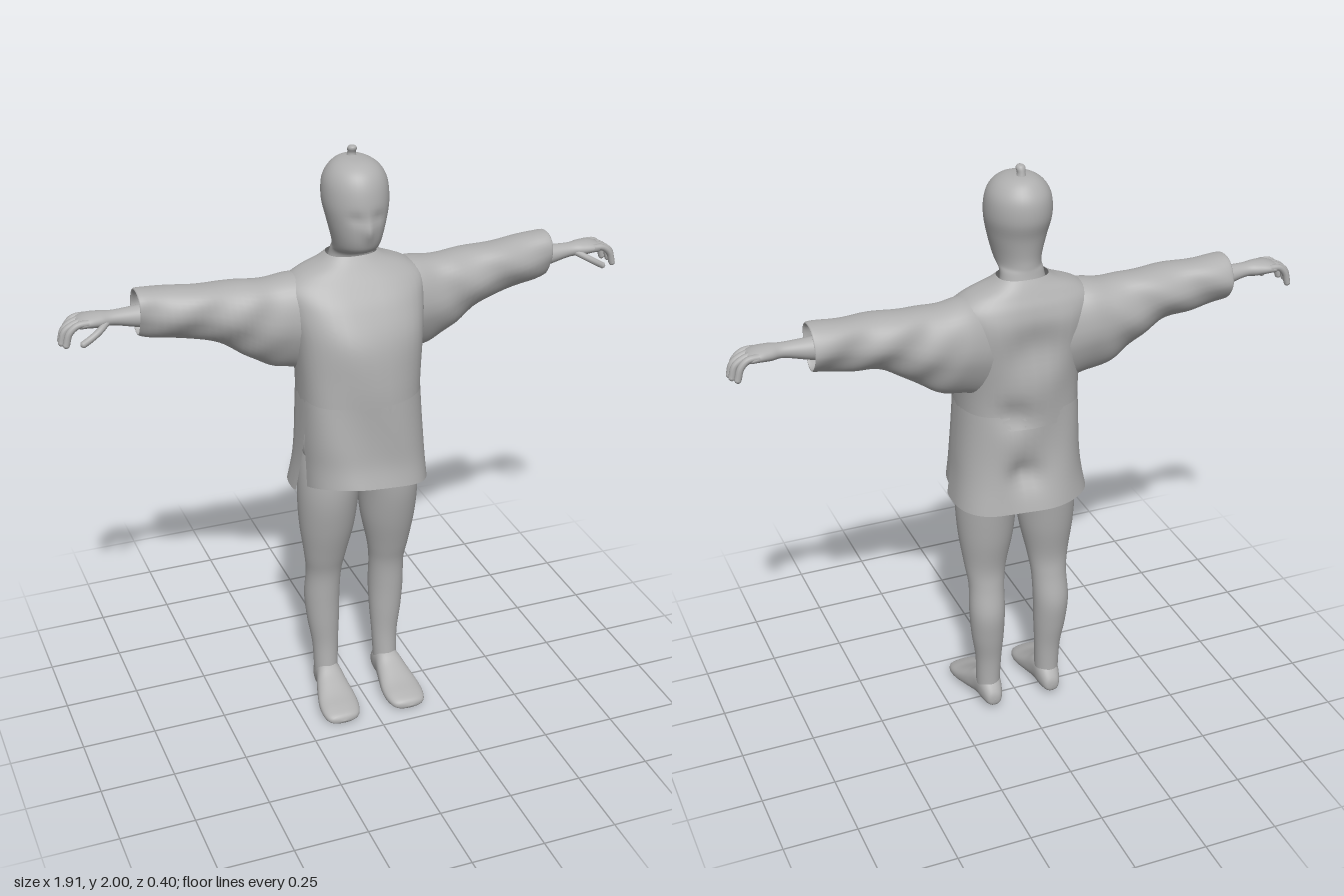
import * as THREE from 'three';

const grey = new THREE.MeshStandardMaterial({ color: 0xb0b0b0, side: THREE.DoubleSide });
grey.name = 'clay grey';

// How [along, u, v] maps to x, y, z for a loft running along each axis
const PLACE = {
  x: (t, u, v) => [t, u, v],
  y: (t, u, v) => [v, t, u],
  z: (t, u, v) => [u, v, t],
};
const bump = (d, r) => Math.exp(-(d * d) / (r * r));

// Smooth skin through sections [along, u0, u1, v0, v1], listed in ascending order
function loft(name, axis, sections, { side = 1, power = 1, arc = null, warp = null, taper = 0 } = {}) {
  const segs = 40, rows = (sections.length - 1) * 5;
  const [a0, a1] = arc || [0, Math.PI * 2];
  const cols = arc ? segs + 1 : segs;
  const pos = [], idx = [];
  const soft = (c) => Math.sign(c) * Math.abs(c) ** power;
  const sample = (k, f) => {
    const n = sections.length - 1, i = Math.min(Math.floor(f), n - 1), t = f - i;
    const at = (j) => sections[Math.max(0, Math.min(n, j))][k];
    const b = at(i), c = at(i + 1), m0 = (c - at(i - 1)) / 2, m1 = (at(i + 2) - b) / 2;
    const t2 = t * t, t3 = t2 * t;
    return (2 * t3 - 3 * t2 + 1) * b + (t3 - 2 * t2 + t) * m0 + (3 * t2 - 2 * t3) * c + (t3 - t2) * m1;
  };
  for (let r = 0; r <= rows; r++) {
    const [t, u0, u1, v0, v1] = [0, 1, 2, 3, 4].map((k) => sample(k, r / 5));
    for (let c = 0; c < cols; c++) {
      const a = a0 + ((a1 - a0) * c) / segs;
      const cu = soft(Math.cos(a)), sv = soft(Math.sin(a));
      const narrow = 1 - taper * Math.max(0, -cu);
      const p = new THREE.Vector3(...PLACE[axis](t, (u0 + u1) / 2 + ((u1 - u0) / 2) * cu,
        (v0 + v1) / 2 + ((v1 - v0) / 2) * sv * narrow));
      if (warp) warp(p);
      pos.push(p.x * side, p.y, p.z);
    }
  }
  for (let r = 0; r < rows; r++) for (let c = 0; c < segs; c++) {
    const d = (c + 1) % cols, a = r * cols + c, b = r * cols + d, e = a + cols, f = b + cols;
    if (side > 0) idx.push(a, b, e, b, f, e);
    else idx.push(a, e, b, b, e, f);
  }
  const g = new THREE.BufferGeometry();
  g.setAttribute('position', new THREE.Float32BufferAttribute(pos, 3));
  g.setIndex(idx);
  g.computeVertexNormals();
  const mesh = new THREE.Mesh(g, grey);
  mesh.name = name;
  return mesh;
}

// Soft cloth folds, plus hollows in the back
function folds(p) {
  const out = Math.sign(p.z + 0.01);
  p.z += out * 0.005 * Math.sin(p.x * 24 + p.y * 11) * Math.min(1, Math.max(0, (1.6 - p.y) * 5));
  if (p.z < -0.06) {
    p.z += 0.035 * bump(Math.hypot(p.x + 0.02, p.y - 1.43), 0.09);
    p.z += 0.03 * bump(Math.hypot(p.x - 0.06, p.y - 1.2), 0.05);
    p.z += 0.03 * bump(Math.hypot(p.x - 0.03, p.y - 0.98), 0.05);
  }
}
// Skirt hem: raised and slanted at the front
function hem(p) {
  const w = Math.max(0, (1.2 - p.y) / 0.35);
  folds(p);
  p.y += w * (0.045 - 0.12 * p.x) * Math.max(0, p.z) / 0.2;
}
function sleeveFolds(p) {
  const w = Math.max(0, Math.min(1, (p.x - 0.22) * 8));
  p.z += 0.005 * w * Math.sin(p.x * 30 + p.y * 35);
}

function finger(name, points, radius, side) {
  const g = new THREE.Group();
  g.name = name;
  const pts = points.map(([x, y, z]) => new THREE.Vector3(x * side, y, z));
  g.add(new THREE.Mesh(new THREE.TubeGeometry(new THREE.CatmullRomCurve3(pts), 12, radius, 10), grey));
  const tip = new THREE.Mesh(new THREE.SphereGeometry(radius, 10, 8), grey);
  tip.position.copy(pts[pts.length - 1]);
  g.add(tip);
  return g;
}

export function createModel() {
  const model = new THREE.Group();
  model.name = 'figure';

  // Head and neck, with a nose ridge and shallow eye hollows
  model.add(loft('headAndNeck', 'y', [
    [1.56, -0.14, 0.0, -0.1, 0.1],
    [1.63, -0.125, -0.01, -0.076, 0.076],
    [1.665, -0.118, 0.005, -0.07, 0.07],
    [1.685, -0.116, 0.062, -0.071, 0.071],
    [1.72, -0.117, 0.085, -0.079, 0.079],
    [1.78, -0.128, 0.094, -0.094, 0.094],
    [1.84, -0.147, 0.095, -0.105, 0.105],
    [1.9, -0.146, 0.084, -0.101, 0.101],
    [1.94, -0.125, 0.06, -0.08, 0.08],
    [1.963, -0.095, 0.018, -0.045, 0.045],
    [1.97, -0.045, -0.045, 0, 0],
  ], {
    warp: (p) => {
      if (p.z < 0.03) return;
      p.z += 0.014 * bump(p.x, 0.016) * bump(p.y - 1.765, 0.03);
      p.z -= 0.008 * bump(Math.abs(p.x) - 0.035, 0.022) * bump(p.y - 1.805, 0.02);
    },
  }));
  model.add(loft('topknot', 'y', [
    [1.955, -0.075, -0.035, -0.02, 0.02],
    [1.975, -0.07, -0.04, -0.013, 0.013],
    [1.99, -0.066, -0.034, -0.015, 0.015],
    [1.998, -0.06, -0.036, -0.01, 0.01],
    [2.0, -0.047, -0.047, 0, 0],
  ]));

  // Tunic upper body
  model.add(loft('tunicBody', 'y', [
    [1.15, -0.172, 0.175, -0.2, 0.2],
    [1.27, -0.178, 0.173, -0.203, 0.203],
    [1.4, -0.19, 0.158, -0.213, 0.213],
    [1.5, -0.188, 0.11, -0.23, 0.23],
    [1.56, -0.17, 0.066, -0.235, 0.235],
    [1.6, -0.15, 0.032, -0.19, 0.19],
    [1.63, -0.135, 0.01, -0.115, 0.115],
    [1.65, -0.124, -0.004, -0.083, 0.083],
  ], { power: 0.82, warp: folds }));

  // Skirt panels, overlapping at the side slits
  model.add(loft('frontSkirtPanel', 'y', [
    [0.87, -0.15, 0.198, -0.2, 0.215],
    [0.95, -0.15, 0.182, -0.2, 0.212],
    [1.05, -0.16, 0.177, -0.203, 0.208],
    [1.2, -0.172, 0.174, -0.2, 0.2],
  ], { power: 0.78, arc: [-1.45, 1.65], warp: hem }));
  model.add(loft('backSkirtPanel', 'y', [
    [0.855, -0.195, 0.15, -0.23, 0.233],
    [0.95, -0.176, 0.15, -0.215, 0.22],
    [1.05, -0.168, 0.16, -0.207, 0.212],
    [1.2, -0.172, 0.17, -0.2, 0.2],
  ], { power: 0.78, arc: [1.4, 4.9], warp: hem }));
  model.add(loft('hips', 'y', [
    [0.865, -0.03, -0.03, 0, 0],
    [0.88, -0.09, 0.05, -0.09, 0.09],
    [0.95, -0.13, 0.11, -0.18, 0.18],
    [1.06, -0.12, 0.11, -0.17, 0.17],
    [1.1, 0, 0, 0, 0],
  ]));

  for (const side of [1, -1]) {
    const label = side > 0 ? 'left' : 'right';

    // Wide hanging sleeve, its cuff turned inward
    model.add(loft(label + 'Sleeve', 'x', [
      [0.12, 1.24, 1.59, -0.16, 0.06],
      [0.2, 1.275, 1.597, -0.175, 0.045],
      [0.28, 1.292, 1.588, -0.172, 0.03],
      [0.36, 1.34, 1.592, -0.165, 0.022],
      [0.47, 1.41, 1.597, -0.158, 0.012],
      [0.58, 1.432, 1.602, -0.155, -0.004],
      [0.69, 1.453, 1.61, -0.158, -0.022],
      [0.695, 1.462, 1.6, -0.15, -0.03],
      [0.65, 1.46, 1.6, -0.15, -0.025],
    ], { side, power: 0.85, taper: 0.35, warp: sleeveFolds }));

    // Forearm and palm
    model.add(loft(label + 'ForearmAndHand', 'x', [
      [0.5, 1.46, 1.56, -0.125, -0.03],
      [0.62, 1.475, 1.565, -0.122, -0.035],
      [0.7, 1.49, 1.56, -0.112, -0.042],
      [0.78, 1.51, 1.557, -0.102, -0.046],
      [0.82, 1.51, 1.56, -0.112, -0.038],
      [0.86, 1.515, 1.558, -0.121, -0.033],
      [0.89, 1.518, 1.548, -0.116, -0.038],
      [0.9, 1.533, 1.533, -0.08, -0.07],
    ], { side }));
    [-0.11, -0.087, -0.065, -0.043].forEach((z, i) => {
      const reach = [0, 0.012, 0.014, 0.004][i];
      model.add(finger(label + 'Finger' + (i + 1), [
        [0.86, 1.54, z], [0.895, 1.537, z],
        [0.918 + reach, 1.515, z], [0.93 + reach, 1.478, z]], 0.011, side));
    });
    model.add(finger(label + 'Thumb', [
      [0.8, 1.53, -0.055], [0.835, 1.512, -0.028], [0.865, 1.495, -0.02], [0.885, 1.483, -0.02]], 0.011, side));

    // Leg
    model.add(loft(label + 'Leg', 'y', [
      [0.04, -0.075, 0.02, 0.072, 0.15],
      [0.1, -0.072, 0.018, 0.07, 0.153],
      [0.2, -0.078, 0.012, 0.066, 0.157],
      [0.3, -0.095, 0.016, 0.06, 0.172],
      [0.4, -0.105, 0.02, 0.057, 0.18],
      [0.5, -0.088, 0.028, 0.054, 0.177],
      [0.58, -0.083, 0.05, 0.042, 0.187],
      [0.7, -0.105, 0.085, 0.017, 0.203],
      [0.82, -0.122, 0.11, 0.004, 0.208],
      [0.92, -0.135, 0.115, -0.01, 0.2],
      [1.0, -0.12, 0.1, 0, 0.18],
    ], { side }));

    // Foot
    model.add(loft(label + 'Foot', 'z', [
      [-0.095, 0.11, 0.11, 0.045, 0.045],
      [-0.088, 0.085, 0.135, 0.02, 0.075],
      [-0.05, 0.07, 0.15, 0.013, 0.12],
      [0.0, 0.066, 0.157, 0.012, 0.13],
      [0.05, 0.058, 0.172, 0.008, 0.1],
      [0.11, 0.05, 0.186, 0.003, 0.068],
      [0.16, 0.055, 0.186, 0.0, 0.05],
      [0.192, 0.075, 0.17, 0.003, 0.035],
      [0.202, 0.125, 0.125, 0.016, 0.016],
    ], { side, power: 0.85 }));
  }
  return model;
}
